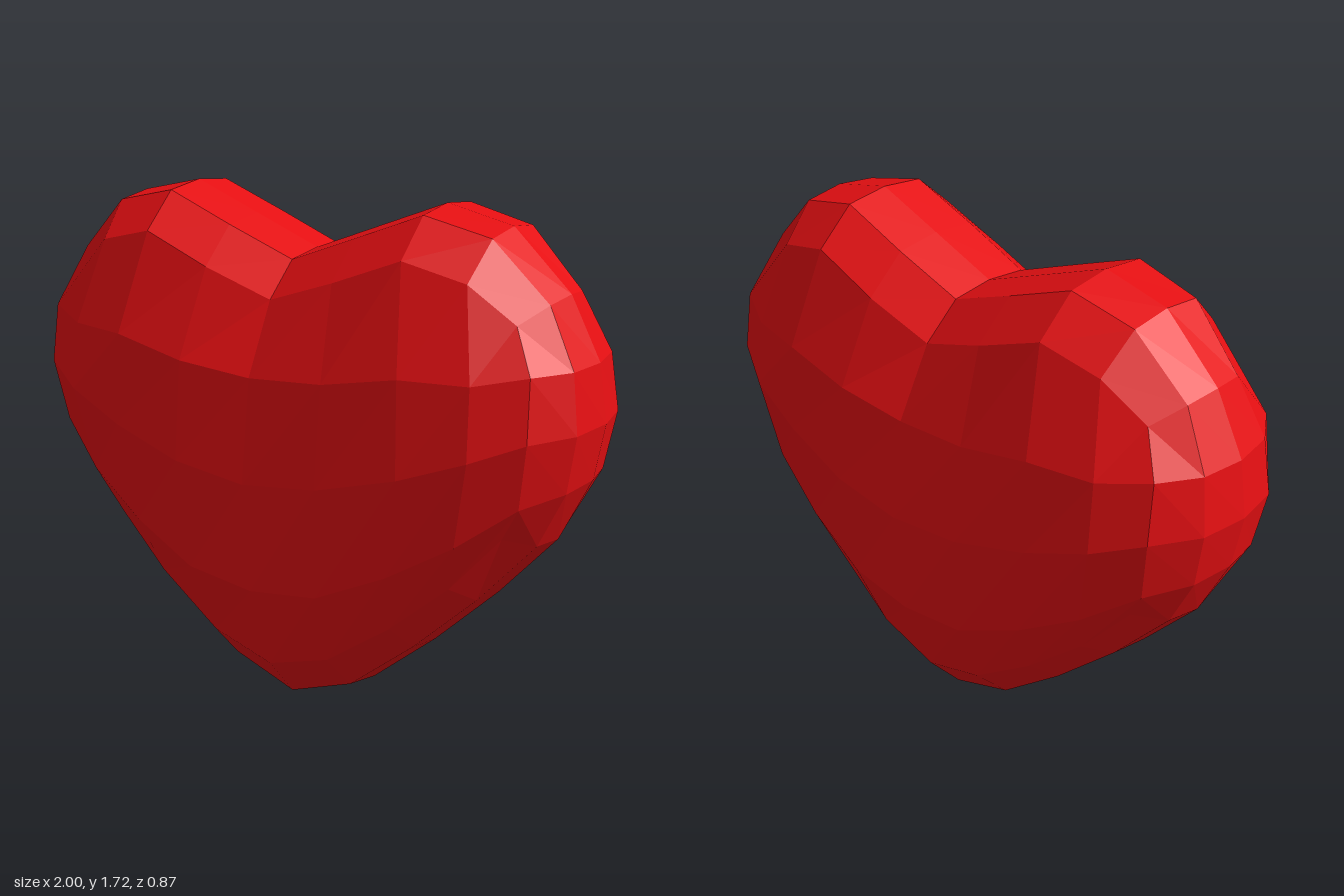
import * as THREE from 'three';

// Front panel of the left half: rows bottom to top, [x, y, z] from the middle outwards
const PANEL = [
  [[0, 0.2, 0.29], [0.22, 0.27, 0.29], [0.44, 0.43, 0.28], [0.63, 0.6, 0.255], [0.78, 0.78, 0.215]],
  [[0, 0.5, 0.4], [0.24, 0.53, 0.395], [0.47, 0.64, 0.37], [0.68, 0.77, 0.33], [0.85, 0.9, 0.26]],
  [[0, 0.87, 0.435], [0.26, 0.9, 0.43], [0.52, 0.97, 0.4], [0.73, 1.05, 0.365], [0.88, 1.11, 0.29]],
  [[0, 1.2, 0.39], [0.26, 1.22, 0.395], [0.51, 1.27, 0.385], [0.72, 1.27, 0.34], [0.87, 1.3, 0.265]],
  [[0, 1.42, 0.27], [0.23, 1.5, 0.285], [0.46, 1.59, 0.28], [0.66, 1.54, 0.255], [0.8, 1.43, 0.215]],
];

// Outline at z = 0, from the tip round the side to the notch
const OUTLINE = [
  [0, 0], [0.23, 0.09], [0.46, 0.29], [0.68, 0.51], [0.87, 0.73], [0.97, 0.94], [1, 1.12],
  [0.97, 1.3], [0.87, 1.49], [0.68, 1.67], [0.46, 1.72], [0.23, 1.63], [0, 1.54],
].map(([x, y]) => [x, y, 0]);

export function createModel() {
  const group = new THREE.Group();
  group.name = 'heart';
  const positions = [];

  // Adds a quad to all four quarters, reversing the corners where mirrored once
  const addQuad = (...corners) => {
    for (const sx of [1, -1]) for (const sz of [1, -1]) {
      const q = corners.map(([x, y, z]) => [x * sx, y, z * sz]);
      if (sx * sz < 0) q.reverse();
      for (const k of [0, 1, 2, 0, 2, 3]) positions.push(...q[k]);
    }
  };

  // Domed front and back panels
  for (let j = 0; j < 4; j++) for (let i = 0; i < 4; i++) {
    addQuad(PANEL[j][i], PANEL[j][i + 1], PANEL[j + 1][i + 1], PANEL[j + 1][i]);
  }

  // Rounded rim: outline, a slightly inset middle ring, and the panel border
  const border = [
    ...PANEL[0],
    ...PANEL.slice(1).map((row) => row[4]),
    ...PANEL[4].slice(0, 4).reverse(),
  ];
  const middle = border.map(([x, y, z], k) => {
    const [ox, oy] = OUTLINE[k];
    const inset = k > 8 ? 0.13 : 0.21;
    return [ox + (x - ox) * inset, oy + (y - oy) * inset, z * 0.54];
  });
  for (const [a, b] of [[OUTLINE, middle], [middle, border]]) {
    for (let k = 0; k < 12; k++) addQuad(a[k], a[k + 1], b[k + 1], b[k]);
  }

  const geometry = new THREE.BufferGeometry();
  geometry.setAttribute('position', new THREE.Float32BufferAttribute(positions, 3));
  geometry.computeVertexNormals();
  const material = new THREE.MeshStandardMaterial({ color: 0xe50f12, flatShading: true });
  const body = new THREE.Mesh(geometry, material);
  body.name = 'heartBody';
  group.add(body);
  return group;
}
